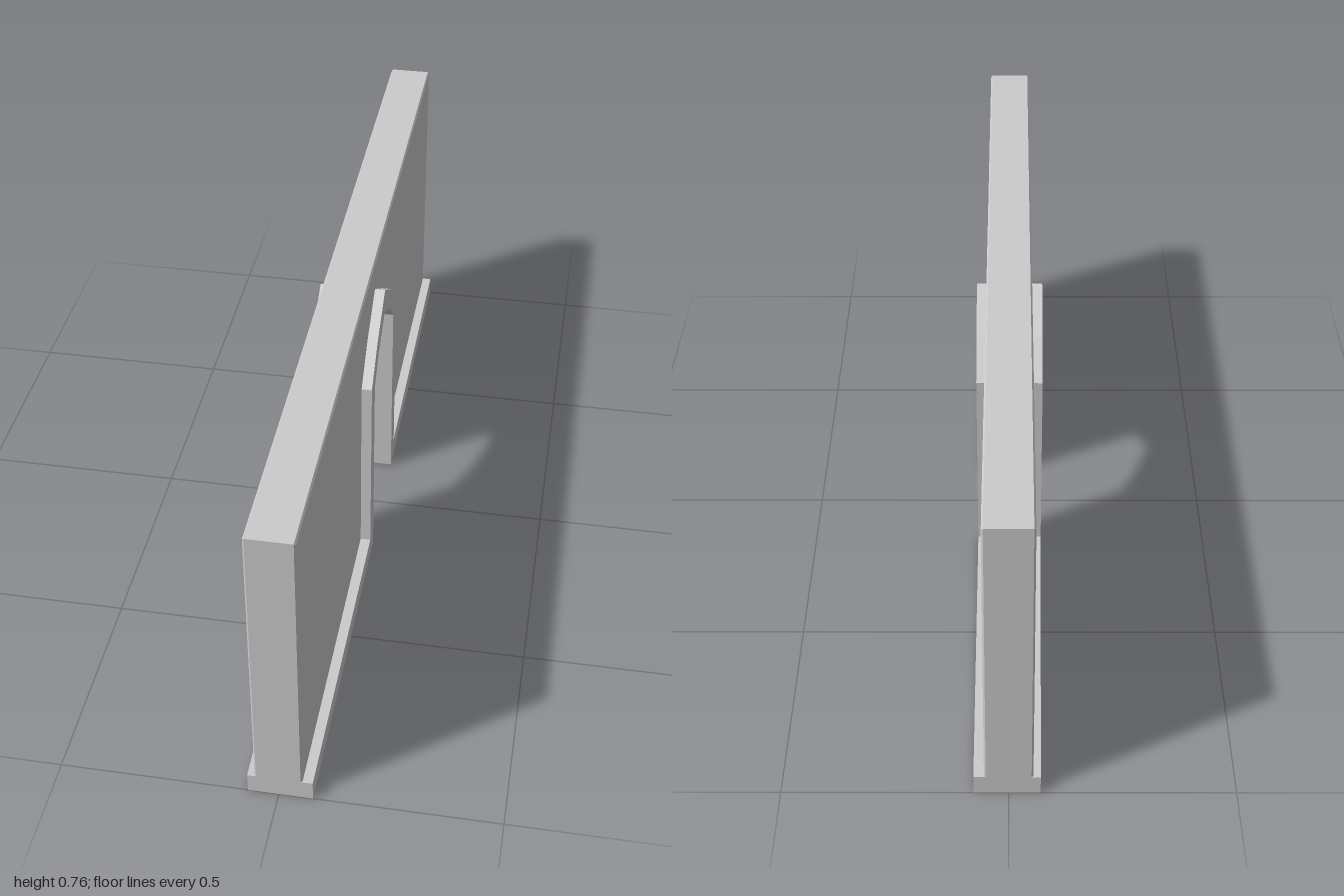
import * as THREE from 'three';

const TOP = 0.76, BASE = 0.05;
// Half outlines of the pointed arch as [z, y], from the floor to the apex
const OUTER = [[0.205, BASE], [0.2, 0.53], [0.115, 0.61], [0, 0.685]];
const INNER = [[0.157, 0], [0.152, 0.505], [0.095, 0.565], [0, 0.62]];

// Full arch from the +z foot over the apex to the -z foot
const mirrored = (half) => [...half, ...half.slice(0, -1).reverse().map(([z, y]) => [-z, y])];

// Extrudes a side outline across the wall from x0 to x1, then adjusts vertices by a rule
function slab(points, x0, x1, rule) {
  const shape = new THREE.Shape(points.map(([z, y]) => new THREE.Vector2(-z, y)));
  const geo = new THREE.ExtrudeGeometry(shape, { depth: x1 - x0, bevelEnabled: false });
  geo.translate(0, 0, x0).rotateY(Math.PI / 2);
  if (rule) {
    const p = geo.attributes.position, v = new THREE.Vector3();
    for (let i = 0; i < p.count; i++) {
      rule(v.fromBufferAttribute(p, i));
      p.setXYZ(i, v.x, v.y, v.z);
    }
  }
  geo.computeVertexNormals();
  return geo;
}

export function createModel() {
  const group = new THREE.Group();
  const material = new THREE.MeshStandardMaterial({ color: 0xcccccc, flatShading: true });
  const add = (name, geo) => {
    const mesh = new THREE.Mesh(geo, material);
    mesh.name = name;
    group.add(mesh);
  };

  // Wall core above the trim
  const wall = [[1, TOP], [1, BASE], ...mirrored(OUTER), [-1, BASE], [-1, TOP]];
  add('wallCore', slab(wall, -0.05, 0.05));

  // Thin face panels with chamfered top and end edges
  const chamfer = (v) => {
    if (Math.abs(v.x) < 0.052) return;
    if (Math.abs(v.z) > 0.99) v.z *= 0.996;
    if (v.y > TOP - 0.001) v.y -= 0.005;
  };
  add('leftPanel', slab(wall, 0.05, 0.054, chamfer));
  add('rightPanel', slab(wall, -0.054, -0.05, chamfer));

  // Baseboard running into the arch surround, slightly thinner at the wall ends
  const trim = [[1, BASE], [1, 0], ...mirrored(INNER), [-1, 0], [-1, BASE], ...mirrored(OUTER).reverse()];
  add('baseAndArchTrim', slab(trim, -0.08, 0.079, (v) => {
    if (Math.abs(v.z) > 0.99) v.x = v.x < 0 ? -0.07 : 0.077;
  }));

  return group;
}
